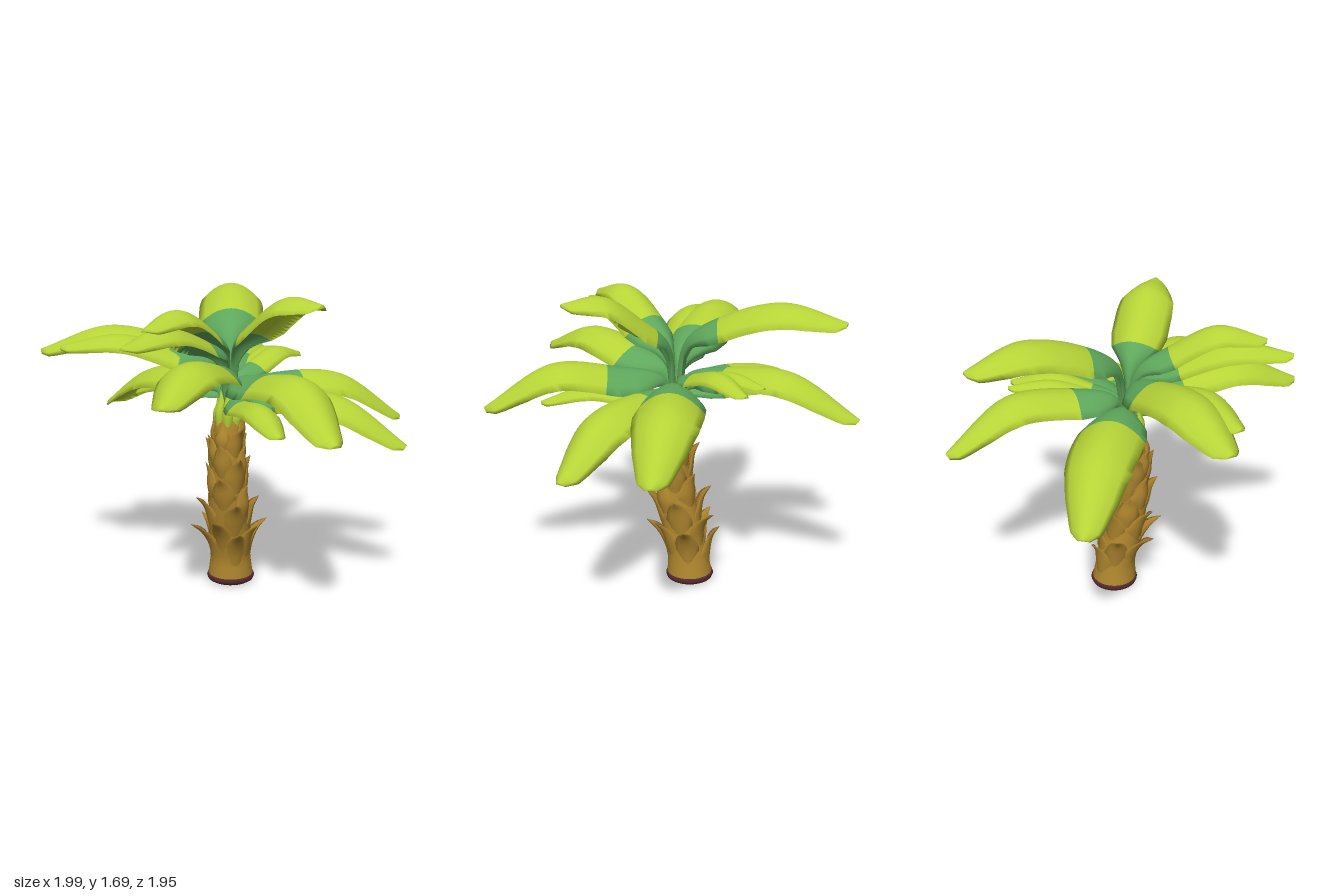
import * as THREE from 'three';

const V = (x, y, z) => new THREE.Vector3(x, y, z);
const mat = (name, color) => {
  const m = new THREE.MeshStandardMaterial({ color });
  m.name = name;
  return m;
};

// piecewise linear lookup in [[u, value], ...]
function ramp(table, u) {
  for (let i = 1; i < table.length; i++) {
    const [u0, a] = table[i - 1], [u1, b] = table[i];
    if (u <= u1) return a + (b - a) * (u - u0) / (u1 - u0);
  }
  return table[table.length - 1][1];
}

// closed, arched blade lofted along a path that heads in the flat direction dir
function blade(points, dir, { rows, cols, half, thick, curl, split }) {
  const curve = new THREE.CatmullRomCurve3(points);
  const side = V(0, 1, 0).cross(dir).normalize();
  const pos = [], idx = [], ring = cols * 2;
  for (let i = 0; i <= rows; i++) {
    const u = i / rows, c = curve.getPoint(u), h = half(u), th = thick(u);
    const up = curve.getTangent(u).cross(side).normalize();
    for (let j = 0; j < ring; j++) {
      const v = j <= cols ? -1 + 2 * j / cols : 1 - 2 * (j - cols) / cols;
      const lift = -curl * h * v * v + (j <= cols ? 1 : -1) * th * (1 - v * v);
      const p = c.clone().addScaledVector(side, v * h).addScaledVector(up, lift);
      pos.push(p.x, p.y, p.z);
    }
  }
  for (let i = 0; i < rows; i++) for (let j = 0; j < ring; j++) {
    const k = (j + 1) % ring, a = i * ring + j, b = a + ring, c = i * ring + k, d = c + ring;
    idx.push(a, b, c, b, d, c);
  }
  // tip cap
  const last = rows * ring;
  for (let j = 1; j < ring - 1; j++) idx.push(last, last + j + 1, last + j);
  const geo = new THREE.BufferGeometry();
  geo.setAttribute('position', new THREE.Float32BufferAttribute(pos, 3));
  geo.setIndex(idx);
  const cut = Math.round(rows * split) * ring * 6;
  geo.addGroup(0, cut, 0);
  geo.addGroup(cut, idx.length - cut, 1);
  geo.computeVertexNormals();
  return geo;
}

// trunk centre line and radius: x, y, z, r
const TRUNK = [
  [0.03, 0.03, -0.025, 0.13], [0.03, 0.15, -0.015, 0.114], [0.025, 0.3, 0.02, 0.114],
  [0.02, 0.5, 0.065, 0.106], [0.015, 0.75, 0.09, 0.09], [0.02, 0.97, 0.08, 0.075], [0.025, 1.08, 0.075, 0.04],
];
const trunkAt = y => [0, 2, 3].map(k => ramp(TRUNK.map(t => [t[1], t[k]]), y));

// tip x, tip z, heights at 30%, 62% and the tip, full width, sideways bow, stalk share
const FRONDS = [
  [0.07, -0.975, 1.29, 1.31, 1.09, 0.33, -0.045, 0.5], [-0.02, -0.87, 1.56, 1.65, 1.57, 0.37, -0.01, 0.475],
  [-0.74, -0.58, 1.22, 1.17, 0.93, 0.37, -0.02, 0.525], [-0.56, -0.54, 1.14, 1.12, 1.0, 0.22, 0, 0.5],
  [-1.0, 0.07, 1.42, 1.49, 1.36, 0.36, 0, 0.5], [-0.87, 0.2, 1.36, 1.46, 1.4, 0.29, 0.03, 0.5],
  [0.985, -0.2, 1.22, 1.2, 0.95, 0.37, 0.02, 0.575], [0.97, 0.29, 1.17, 1.14, 0.9, 0.35, -0.02, 0.5],
  [0.56, 0.95, 1.27, 1.31, 1.08, 0.37, 0.035, 0.54], [0.3, 0.75, 1.12, 1.15, 1.06, 0.21, 0, 0.5],
  [-0.25, 0.965, 1.33, 1.39, 1.25, 0.34, 0, 0.5], [-0.445, 0.8, 1.45, 1.55, 1.5, 0.27, 0, 0.5],
  [-0.35, 0.69, 1.5, 1.63, 1.57, 0.26, 0, 0.5], [0.5, 0.49, 1.53, 1.68, 1.665, 0.32, 0, 0.4],
  [0.41, -0.47, 1.26, 1.32, 1.26, 0.19, 0, 0.5], [0.3, -0.53, 1.25, 1.31, 1.28, 0.16, 0, 0.5],
];
const FROND_WIDTH = [[0, 0.1], [0.18, 0.18], [0.3, 0.55], [0.4, 0.87], [0.5, 1], [0.64, 1],
  [0.77, 0.93], [0.87, 0.75], [0.95, 0.51], [0.98, 0.4], [1, 0.18]];
const HUSK_WIDTH = [[0, 0.9], [0.3, 1], [0.55, 0.78], [0.8, 0.42], [1, 0.04]];

export function createModel() {
  const model = new THREE.Group();
  const lime = mat('lime leaf', 0xb6d337);
  const green = mat('deep green stalk', 0x5fa85c);
  const bark = mat('golden brown bark', 0xaf862e);
  const foot = mat('dark root brown', 0x552a30);
  const add = (parent, name, geo, m) => {
    const mesh = new THREE.Mesh(geo, m);
    mesh.name = name;
    parent.add(mesh);
    return mesh;
  };
  const group = name => {
    const g = new THREE.Group();
    g.name = name;
    model.add(g);
    return g;
  };

  // trunk: a cylinder bent and swelled to the centre line
  const trunkGeo = new THREE.CylinderGeometry(1, 1, 1.05, 28, 28);
  trunkGeo.translate(0, 0.555, 0);
  const p = trunkGeo.attributes.position;
  for (let i = 0; i < p.count; i++) {
    const [x, z, r] = trunkAt(p.getY(i));
    p.setX(i, x + p.getX(i) * r);
    p.setZ(i, z + p.getZ(i) * r);
  }
  trunkGeo.computeVertexNormals();
  add(model, 'trunk', trunkGeo, bark);

  // rounded dark foot
  const footProfile = [[0, 0], [0.115, 0.003], [0.13, 0.012], [0.137, 0.028], [0.131, 0.044], [0, 0.044]];
  add(model, 'trunkFoot', new THREE.LatheGeometry(footProfile.map(q => new THREE.Vector2(...q)), 28), foot)
    .position.set(0.03, 0, -0.025);

  // pointed husk around the trunk or crown
  const husk = (angle, y, length, flare, width) => {
    const dir = V(Math.sin(angle), 0, Math.cos(angle));
    const at = (f, out) => {
      const [x, z, r] = trunkAt(y + length * f * 0.6);
      return V(x, y + length * f, z).addScaledVector(dir, r + out);
    };
    return blade([at(0, -0.015), at(0.4, 0.008), at(0.75, flare * 0.45), at(1, flare)], dir, {
      rows: 10, cols: 6, split: 1, curl: -0.45,
      half: u => width / 2 * ramp(HUSK_WIDTH, u),
      thick: u => 0.012 * (1 - u) + 0.002,
    });
  };

  // staggered rows of bark husks: base height, length, flare, width
  const husks = group('barkHusks');
  [[0.12, 0.23, 0.1, 0.14], [0.19, 0.22, 0.1, 0.14], [0.32, 0.22, 0.08, 0.15], [0.44, 0.21, 0.04, 0.145],
    [0.55, 0.22, 0.045, 0.14], [0.66, 0.2, 0.03, 0.125], [0.75, 0.18, 0.045, 0.11], [0.84, 0.17, 0.01, 0.1]]
    .forEach(([y, length, flare, width], row) => {
      for (let i = 0; i < 4; i++) {
        const wobble = Math.sin(row * 5.1 + i * 2.7);
        add(husks, 'barkHusk', husk(i * Math.PI / 2 + row * 0.82 + 0.3 + wobble * 0.15,
          y + wobble * 0.03, length, flare + wobble * 0.02, width), bark);
      }
    });

  // young shoots round the crown
  const shoots = group('crownShoots');
  for (let i = 0; i < 7; i++) {
    add(shoots, 'crownShoot', husk(i * Math.PI * 2 / 7, 0.95, i % 2 ? 0.15 : 0.2, 0.012, 0.07), lime);
  }

  // fronds: green stalk end, lime blade
  const fronds = group('fronds');
  for (const [tx, tz, y1, y2, y3, width, bow, split] of FRONDS) {
    const base = V(0.03, 1.04, 0.06);
    const dir = V(tx - base.x, 0, tz - base.z);
    const side = V(0, 1, 0).cross(dir).normalize();
    const at = (f, y, shift) => V(base.x, y, base.z).addScaledVector(dir, f).addScaledVector(side, shift);
    const path = [at(0.02, base.y, 0), at(0.075, base.y + 0.7 * (y1 - base.y), 0),
      at(0.3, y1, bow * 0.7), at(0.64, y2, bow), at(1, y3, 0)];
    add(fronds, 'frond', blade(path, dir, {
      rows: 40, cols: 10, split, curl: 0.55,
      half: u => width / 2 * ramp(FROND_WIDTH, u),
      thick: u => 0.006 + 0.014 * Math.max(0, 1 - u * 1.6),
    }), [green, lime]);
  }
  return model;
}
